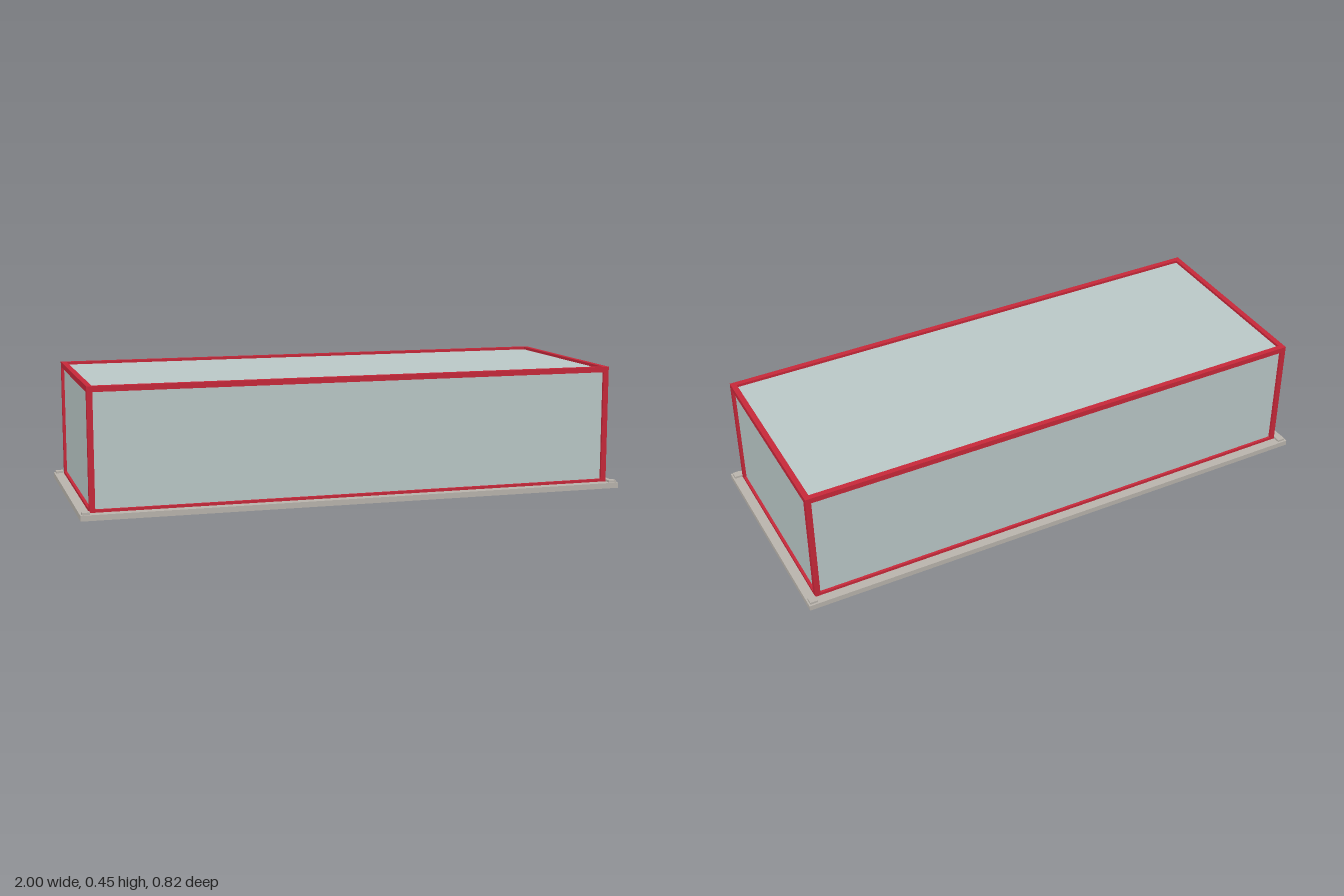
import * as THREE from 'three';

export function createModel() {
  const model = new THREE.Group();
  const red = new THREE.MeshStandardMaterial({ name: 'red frame', color: 0xc8283a });
  const glass = new THREE.MeshStandardMaterial({ name: 'pale glass', color: 0xbbc9c8 });
  const stone = new THREE.MeshStandardMaterial({ name: 'grey stone', color: 0xbab5ad });

  const box = (parent, name, material, size, position) => {
    const mesh = new THREE.Mesh(new THREE.BoxGeometry(...size), material);
    mesh.name = name;
    mesh.position.set(...position);
    parent.add(mesh);
  };

  // Outer limits of the frame and thickness of its bars
  const X = 0.965, Z = 0.373, bottom = 0.01, top = 0.453, bar = 0.02;
  const height = top - bottom, midY = (top + bottom) / 2;
  const cx = X - bar / 2, cz = Z - bar / 2;

  // Base slab with a small pad at each corner
  box(model, 'baseSlab', stone, [2, 0.02, 0.816], [0, 0.01, 0]);
  const pads = new THREE.Group();
  pads.name = 'cornerPads';
  model.add(pads);

  // Twelve-bar frame: posts, then long and short rails between them
  const frame = new THREE.Group();
  frame.name = 'frame';
  model.add(frame);
  for (const sx of [-1, 1]) {
    for (const sz of [-1, 1]) {
      box(pads, 'cornerPad', stone, [0.028, 0.01, 0.028], [sx * 0.98, 0.023, sz * 0.387]);
      box(frame, 'cornerPost', red, [bar, height, bar], [sx * cx, midY, sz * cz]);
    }
  }
  for (const y of [bottom + bar / 2, top - bar / 2]) {
    for (const s of [-1, 1]) {
      box(frame, 'longRail', red, [2 * (X - bar), bar, bar], [0, y, s * cz]);
      box(frame, 'shortRail', red, [bar, bar, 2 * (Z - bar)], [s * cx, y, 0]);
    }
  }

  // Glazed body, its faces slightly recessed within the bars
  const inset = 0.01;
  box(model, 'glassBody', glass,
    [2 * (X - inset), height - 2 * inset, 2 * (Z - inset)], [0, midY, 0]);

  return model;
}
